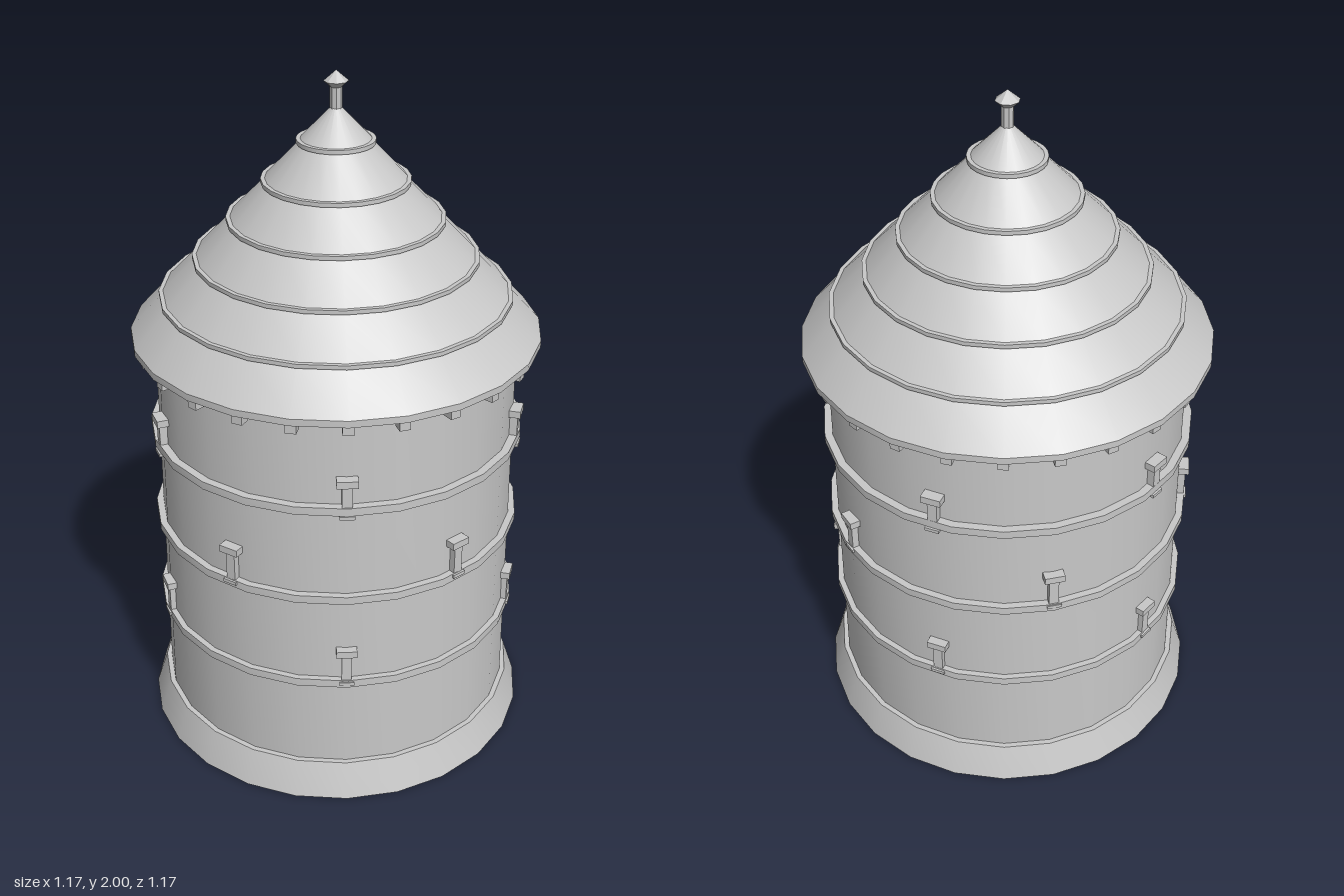
import * as THREE from 'three';
import { toCreasedNormals } from 'three/addons/utils/BufferGeometryUtils.js';

const SIDES = 24;

export function createModel() {
  const tower = new THREE.Group();
  tower.name = 'roundTower';
  const stone = new THREE.MeshStandardMaterial({ color: 0xc8c8c8 });
  stone.name = 'paleGreyStone';

  function add(name, geometry, parent = tower) {
    const mesh = new THREE.Mesh(geometry, stone);
    mesh.name = name;
    parent.add(mesh);
    return mesh;
  }

  // Turned part from [radius, height] pairs, listed bottom to top
  function turned(name, profile, sides = SIDES, crease = 0.5) {
    const points = profile.map(([r, y]) => new THREE.Vector2(r, y));
    return add(name, toCreasedNormals(new THREE.LatheGeometry(points, sides), crease));
  }

  // Box in a radial frame: width across, from y0 to y1, reaching from r0 to r1
  function radialBox(name, width, y0, y1, r0, r1, parent) {
    const box = new THREE.BoxGeometry(width, y1 - y0, r1 - r0);
    box.translate(0, (y0 + y1) / 2, (r0 + r1) / 2);
    return add(name, box, parent);
  }

  // Flared plinth and slightly tapering wall
  turned('plinth', [[0, 0], [0.58, 0], [0.545, 0.105], [0, 0.105]]);
  turned('wall', [[0.53, 0.1], [0.518, 1.26]]);

  // String courses
  for (const y of [0.395, 0.682, 0.968]) {
    turned('stringCourse', [[0.5, y - 0.012], [0.544, y - 0.012], [0.544, y + 0.012], [0.5, y + 0.012]]);
  }

  // Five slit windows on each floor, staggered on the middle floor
  [[0.392, 0], [0.682, 0.5], [0.946, 0]].forEach(([y, offset]) => {
    for (let i = 0; i < 5; i++) {
      const slit = new THREE.Group();
      slit.name = 'slitWindow';
      slit.rotation.y = ((i + offset) / 5) * Math.PI * 2;
      radialBox('sill', 0.042, y, y + 0.01, 0.5, 0.546, slit);
      radialBox('slit', 0.028, y + 0.01, y + 0.1, 0.5, 0.539, slit);
      radialBox('lintel', 0.058, y + 0.098, y + 0.119, 0.5, 0.548, slit);
      tower.add(slit);
    }
  });

  // Small brackets under the eaves
  for (let i = 0; i < SIDES; i++) {
    const bracket = radialBox('eavesBracket', 0.03, 1.215, 1.25, 0.535, 0.568, tower);
    bracket.rotation.y = (i / SIDES) * Math.PI * 2;
  }

  // Stepped conical roof: each tier has a thin lip and a sloping cone
  const roof = [[0, 1.247], [0.585, 1.247], [0.585, 1.267]];
  [[0.5, 1.368], [0.402, 1.476], [0.305, 1.585], [0.207, 1.693], [0.109, 1.803]].forEach(([r, y]) => {
    roof.push([r - 0.008, y], [r, y], [r, y + 0.012], [r - 0.012, y + 0.012]);
  });
  roof.push([0, 1.915]);
  turned('roof', roof);

  // Faceted finial
  turned('finialPost', [[0.017, 1.89], [0.017, 1.965]], 8, 0.1);
  turned('finialCap', [[0, 1.955], [0.017, 1.955], [0.034, 1.971], [0, 2]], 8, 0.1);

  return tower;
}
